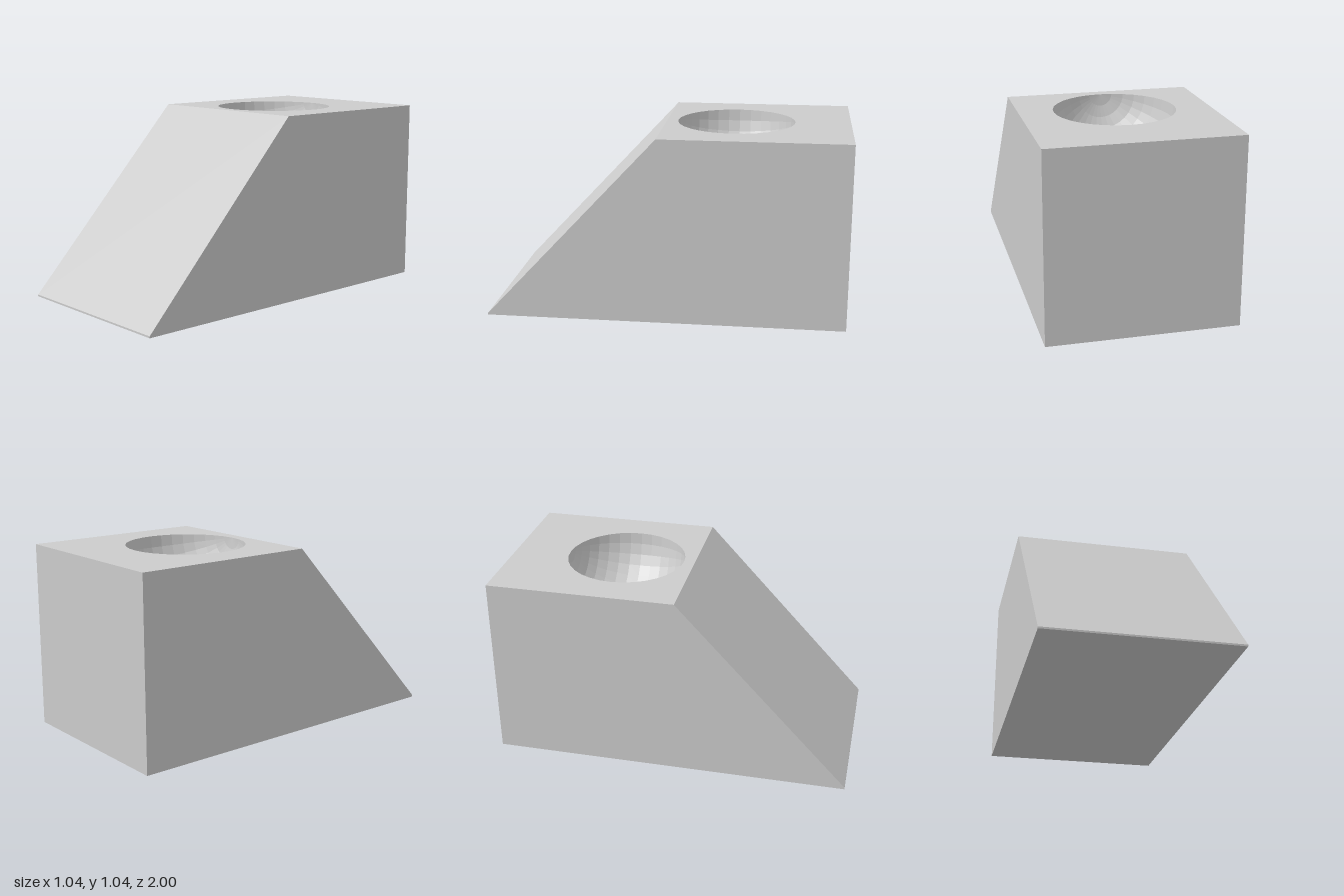
import * as THREE from 'three';
import { mergeGeometries } from 'three/addons/utils/BufferGeometryUtils.js';

const HALF_WIDTH = 0.52, TOP = 1.04;
const BOWL_Z = -0.355, BOWL_RADIUS = 0.333, SEGMENTS = 32;

// Flat convex panel from corners in counter-clockwise order
function panel(corners) {
  const positions = [];
  for (let i = 1; i < corners.length - 1; i++) {
    positions.push(...corners[0], ...corners[i], ...corners[i + 1]);
  }
  const geometry = new THREE.BufferGeometry();
  geometry.setAttribute('position', new THREE.Float32BufferAttribute(positions, 3));
  geometry.computeVertexNormals();
  return geometry;
}

export function createModel() {
  const model = new THREE.Group();
  model.name = 'slopedBlock';
  const material = new THREE.MeshStandardMaterial({ color: 0xcccccc, flatShading: true });
  const add = (name, geometry) => {
    const mesh = new THREE.Mesh(geometry, material);
    mesh.name = name;
    model.add(mesh);
    return mesh;
  };

  // Side profile as [z, y]; the last edge is the left-open top
  const profile = [[-1, TOP], [-1, 0], [1, 0], [1, 0.01], [0.04, TOP]];
  const outline = (x) => profile.map(([z, y]) => [x, y, z]);
  const right = outline(-HALF_WIDTH), left = outline(HALF_WIDTH);

  // Block: both sides, then back, base, front lip and slope
  const panels = [panel(right), panel([...left].reverse())];
  for (let i = 0; i < profile.length - 1; i++) {
    panels.push(panel([right[i], left[i], left[i + 1], right[i + 1]]));
  }
  add('block', mergeGeometries(panels));

  // Top face with a round opening
  const top = new THREE.Shape([
    new THREE.Vector2(-HALF_WIDTH, -0.04), new THREE.Vector2(HALF_WIDTH, -0.04),
    new THREE.Vector2(HALF_WIDTH, 1), new THREE.Vector2(-HALF_WIDTH, 1),
  ]);
  const rim = [];
  for (let i = 0; i < SEGMENTS; i++) {
    const angle = (i / SEGMENTS) * Math.PI * 2;
    rim.push(new THREE.Vector2(BOWL_RADIUS * Math.cos(angle), BOWL_RADIUS * Math.sin(angle) - BOWL_Z));
  }
  top.holes.push(new THREE.Path(rim));
  add('topFace', new THREE.ShapeGeometry(top).rotateX(-Math.PI / 2).translate(0, TOP, 0));

  // Hemispherical bowl, poles front and back, faces turned inward
  const bowl = new THREE.SphereGeometry(BOWL_RADIUS, SEGMENTS / 2, SEGMENTS / 2, 0, Math.PI);
  bowl.rotateX(Math.PI / 2);
  bowl.index.array.reverse();
  bowl.computeVertexNormals();
  add('bowl', bowl).position.set(0, TOP, BOWL_Z);

  return model;
}
